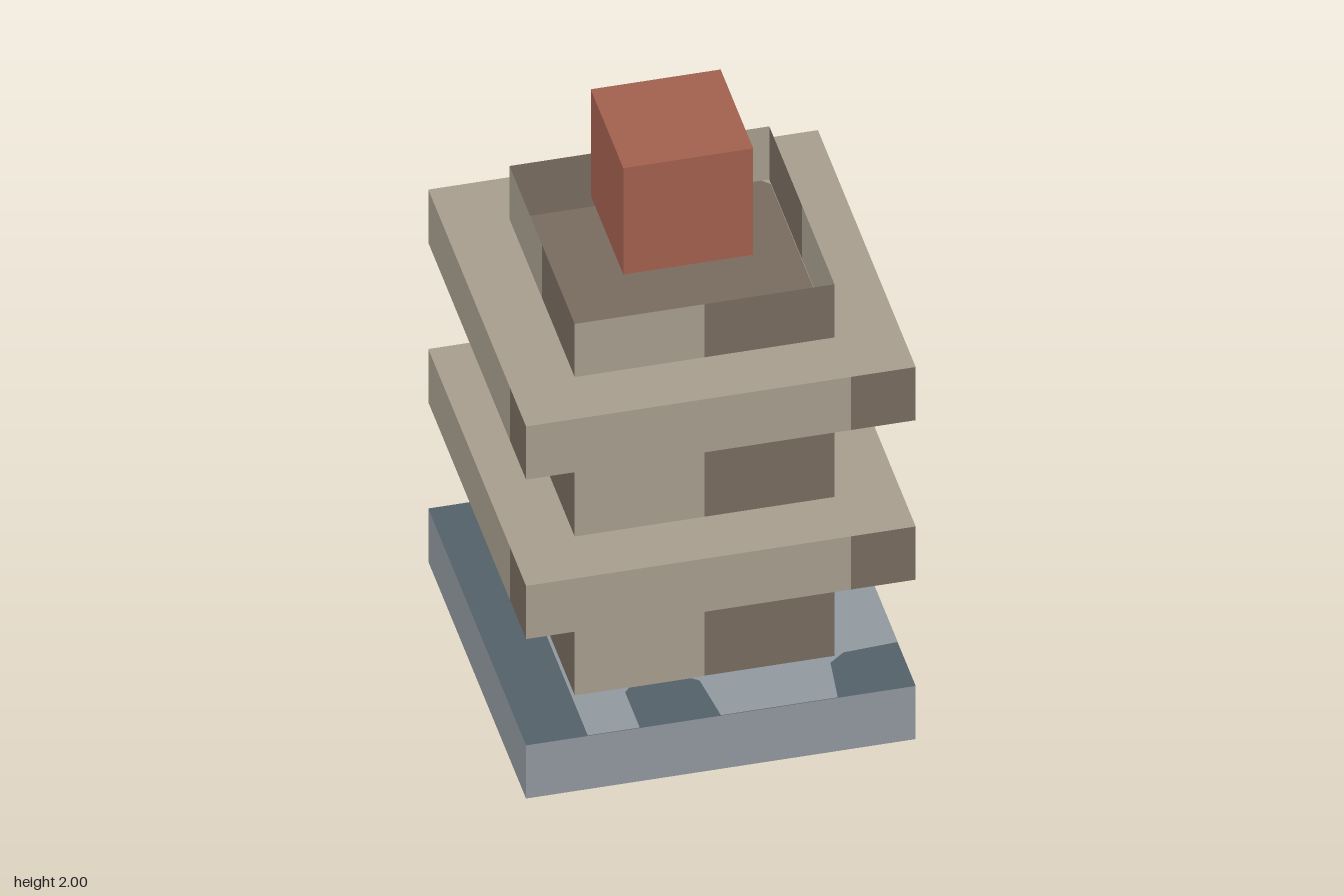
import * as THREE from 'three';

const mat = (name, color, side = THREE.FrontSide) => {
  const m = new THREE.MeshStandardMaterial({ color, side });
  m.name = name;
  return m;
};

export function createModel() {
  const model = new THREE.Group();
  model.name = 'tieredTower';

  const paleStone = mat('paleStone', 0xa89f8e, THREE.DoubleSide);
  const darkStone = mat('darkStone', 0x796c60, THREE.DoubleSide);
  const paleSlate = mat('paleSlate', 0x9299a0);
  const darkSlate = mat('darkSlate', 0x55616a);
  const brick = mat('brick', 0xa3604e);

  const add = (parent, name, geometry, material, x = 0, y = 0, z = 0) => {
    const mesh = new THREE.Mesh(geometry, material);
    mesh.name = name;
    mesh.position.set(x, y, z);
    parent.add(mesh);
    return mesh;
  };

  // Four equal walls, each pale up to "split" and dark to the right of it
  const addWalls = (parent, half, y0, y1, split) => {
    const h = y1 - y0, y = (y0 + y1) / 2;
    for (let i = 0; i < 4; i++) {
      const wall = new THREE.Group();
      wall.name = 'wall';
      wall.rotation.y = i * Math.PI / 2;
      add(wall, 'paleWall', new THREE.PlaneGeometry(split + half, h), paleStone, (split - half) / 2, y, half);
      add(wall, 'darkWall', new THREE.PlaneGeometry(half - split, h), darkStone, (split + half) / 2, y, half);
      parent.add(wall);
    }
  };

  // Base block with irregular pale paving on its upper and lower faces
  add(model, 'base', new THREE.BoxGeometry(1.2, 0.2, 1.2),
    [paleSlate, paleSlate, darkSlate, darkSlate, paleSlate, paleSlate], 0, 0.1, 0);
  const paving = new THREE.ShapeGeometry(new THREE.Shape([
    [-0.41, -0.6], [-0.25, -0.6], [-0.25, -0.42], [-0.2, -0.37], [-0.08, -0.37], [-0.02, -0.42], [0, -0.6],
    [0.36, -0.6], [0.38, -0.43], [0.43, -0.39], [0.6, -0.38],
    [0.6, 0.03], [0.25, 0.03], [0.17, 0.06], [0.15, 0.12], [0.19, 0.18], [0.25, 0.2], [0.6, 0.2],
    [0.6, 0.38], [-0.41, 0.38],
  ].map(([x, y]) => new THREE.Vector2(x, y))));
  add(model, 'topPaving', paving, paleSlate, 0, 0.202, 0).rotation.x = -Math.PI / 2;
  add(model, 'bottomPaving', paving, paleSlate, 0, -0.002, 0).rotation.x = Math.PI / 2;

  // Tower storeys; the highest is an open parapet
  [['lowerStorey', 0.2, 0.6], ['upperStorey', 0.8, 1.2], ['parapet', 1.4, 1.6]].forEach(([name, y0, y1]) => {
    const storey = new THREE.Group();
    storey.name = name;
    addWalls(storey, 0.4, y0, y1, 0);
    model.add(storey);
  });

  // Overhanging ledges with a dark floor in the middle
  const e = 0.398, c = 0.375;
  const floor = new THREE.ShapeGeometry(new THREE.Shape([
    [-c, -e], [c, -e], [e, -c], [e, c], [c, e], [-c, e], [-e, c], [-e, -c],
  ].map(([x, y]) => new THREE.Vector2(x, y))));
  [['lowerLedge', 0.6], ['upperLedge', 1.2]].forEach(([name, y]) => {
    const ledge = new THREE.Group();
    ledge.name = name;
    addWalls(ledge, 0.6, y, y + 0.2, 0.4);
    const deck = new THREE.PlaneGeometry(1.2, 1.2);
    add(ledge, 'ledgeTop', deck, paleStone, 0, y + 0.2, 0).rotation.x = -Math.PI / 2;
    add(ledge, 'ledgeUnderside', deck, paleStone, 0, y, 0).rotation.x = Math.PI / 2;
    add(ledge, 'floor', floor, darkStone, 0, y + 0.202, 0).rotation.x = -Math.PI / 2;
    model.add(ledge);
  });

  // Brick cube at the summit
  add(model, 'topBlock', new THREE.BoxGeometry(0.4, 0.4, 0.4), brick, 0, 1.8, 0);

  return model;
}
